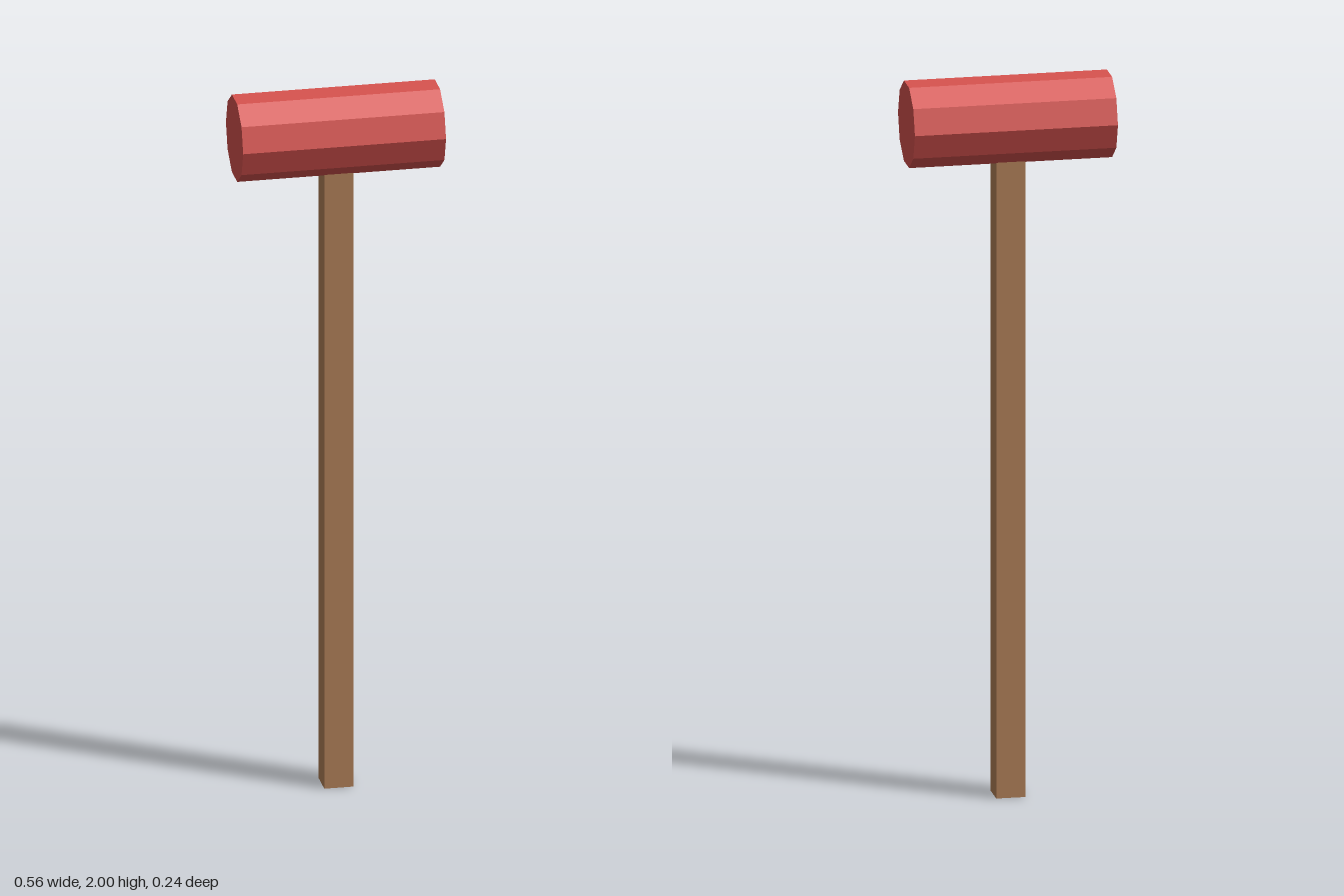
import * as THREE from 'three';

export function createModel() {
  const group = new THREE.Group();
  const wood = new THREE.MeshStandardMaterial({ name: 'wood', color: 0xb5835a, flatShading: true });
  const red = new THREE.MeshStandardMaterial({ name: 'red', color: 0xd9534f, flatShading: true });

  const headRadius = 0.118;
  const headHalfHeight = headRadius * Math.cos(Math.PI / 10);
  const headY = 2 - headHalfHeight;

  // Square shaft, running up into the head
  const handleHeight = headY - headHalfHeight + 0.02;
  const handle = new THREE.Mesh(new THREE.BoxGeometry(0.08, handleHeight, 0.08), wood);
  handle.name = 'handle';
  handle.position.y = handleHeight / 2;
  group.add(handle);

  // Ten-sided head lying along x, with flat faces at top and bottom
  const head = new THREE.Mesh(new THREE.CylinderGeometry(headRadius, headRadius, 0.556, 10), red);
  head.name = 'head';
  head.rotation.z = Math.PI / 2;
  head.position.y = headY;
  group.add(head);

  return group;
}
